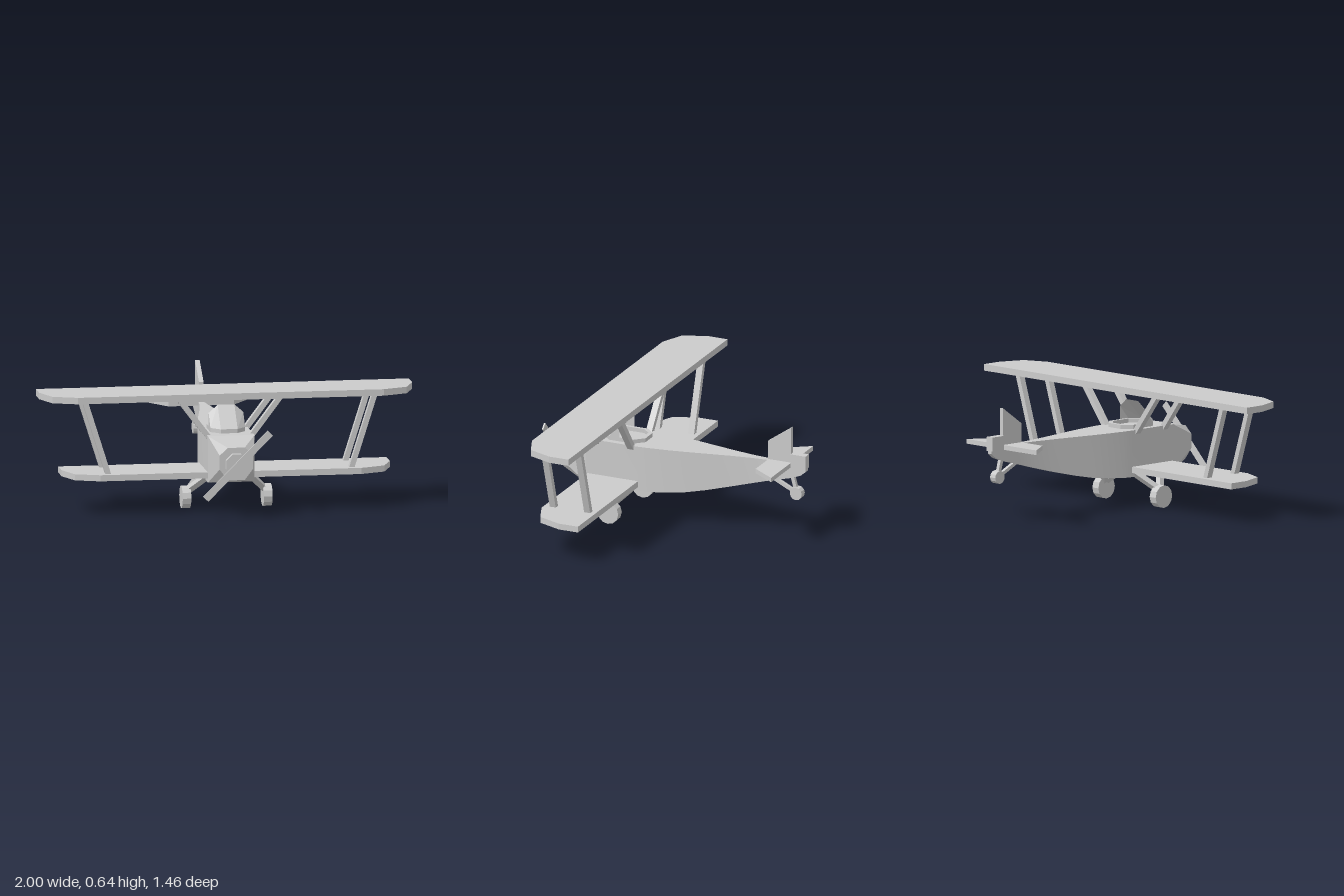
import * as THREE from 'three';
import { ConvexGeometry } from 'three/addons/geometries/ConvexGeometry.js';
import { toCreasedNormals } from 'three/addons/utils/BufferGeometryUtils.js';

const grey = new THREE.MeshStandardMaterial({ color: 0xcccccc, flatShading: true });
const smoothGrey = new THREE.MeshStandardMaterial({ color: 0xcccccc });
const thinGrey = new THREE.MeshStandardMaterial({ color: 0xcccccc, flatShading: true, side: THREE.DoubleSide });
const V = (x, y, z) => new THREE.Vector3(x, y, z);

export function createModel() {
  const model = new THREE.Group();

  const add = (name, geometry, material = grey) => {
    const mesh = new THREE.Mesh(geometry, material);
    mesh.name = name;
    model.add(mesh);
    return mesh;
  };

  // Right half outline [x, z] mirrored into a closed symmetric shape
  const mirrored = (half) => [...half, ...half.map(([x, z]) => [-x, z]).reverse()];
  const toPath = (points) => points.map(([x, y]) => new THREE.Vector2(x, y));

  // Horizontal slab from a plan outline
  const slab = (name, outline, bottom, top, hole) => {
    const shape = new THREE.Shape(toPath(outline));
    if (hole) shape.holes.push(new THREE.Path(toPath(hole)));
    const g = new THREE.ExtrudeGeometry(shape, { depth: top - bottom, bevelEnabled: false });
    return add(name, g.rotateX(Math.PI / 2).translate(0, top, 0));
  };

  // Upright plate from a side outline [z, y]
  const plate = (name, outline, width) => {
    const g = new THREE.ExtrudeGeometry(new THREE.Shape(toPath(outline)), { depth: width, bevelEnabled: false });
    return add(name, g.rotateY(-Math.PI / 2).translate(width / 2, 0, 0));
  };

  // Straight square strut between two points
  const strut = (name, a, b, w, d) => {
    const dir = b.clone().sub(a);
    const mesh = add(name, new THREE.BoxGeometry(w, dir.length(), d));
    mesh.position.copy(a).add(b).multiplyScalar(0.5);
    mesh.quaternion.setFromUnitVectors(V(0, 1, 0), dir.normalize());
  };

  const wheel = (name, x, y, z, r, width) =>
    add(name, new THREE.CylinderGeometry(r, r, width, 12).rotateZ(Math.PI / 2).translate(x, y, z));

  // Fuselage: rectangular sections [z, half width, bottom, top]
  const sections = [
    [0.5, 0.125, 0.165, 0.415], [0.2, 0.125, 0.165, 0.415], [0.14, 0.12, 0.166, 0.415],
    [0.04, 0.107, 0.175, 0.415], [-0.05, 0.092, 0.184, 0.415], [-0.17, 0.068, 0.208, 0.415],
    [-0.3, 0.042, 0.24, 0.415], [-0.42, 0.023, 0.272, 0.415], [-0.52, 0.014, 0.3, 0.415],
    [-0.64, 0.014, 0.332, 0.412], [-0.7, 0.014, 0.355, 0.405], [-0.73, 0.014, 0.38, 0.4],
  ];
  const positions = [], index = [];
  sections.forEach(([z, w, b, t], i) => {
    positions.push(w, b, z, w, t, z, -w, t, z, -w, b, z);
    if (i === 0) return;
    for (let k = 0; k < 4; k++) {
      const a = (i - 1) * 4 + k, c = (i - 1) * 4 + (k + 1) % 4;
      index.push(a, a + 4, c, c, a + 4, c + 4);
    }
  });
  const last = (sections.length - 1) * 4;
  index.push(0, 1, 2, 0, 2, 3, last, last + 2, last + 1, last, last + 3, last + 2);
  const body = new THREE.BufferGeometry();
  body.setAttribute('position', new THREE.Float32BufferAttribute(positions, 3));
  body.setIndex(index);
  add('fuselage', toCreasedNormals(body, 0.5), smoothGrey);

  // Nose: rectangle tapering to an octagon
  const nose = [];
  for (const s of [1, -1]) {
    nose.push(V(s * 0.125, 0.165, 0.5), V(s * 0.125, 0.415, 0.5));
    nose.push(V(s * 0.045, 0.205, 0.67), V(s * 0.09, 0.265, 0.67), V(s * 0.09, 0.34, 0.67), V(s * 0.045, 0.38, 0.67));
  }
  add('nose', new ConvexGeometry(nose));

  // Hub, shaft and propeller
  const hub = new THREE.CylinderGeometry(0.062, 0.062, 0.03, 8).rotateY(Math.PI / 8).rotateX(Math.PI / 2);
  add('hub', hub.translate(0, 0.292, 0.683));
  add('propellerShaft', new THREE.CylinderGeometry(0.012, 0.012, 0.04, 8).rotateX(Math.PI / 2).translate(0, 0.291, 0.71));
  add('propeller', new THREE.BoxGeometry(0.49, 0.038, 0.008).rotateZ(Math.PI / 4).translate(0, 0.291, 0.726));

  // Wings with clipped leading corners
  const wing = (span) => mirrored([[span, 0.197], [span, 0.31], [span - 0.05, 0.44], [span - 0.18, 0.493]]);
  slab('upperWing', wing(1), 0.605, 0.64);
  slab('lowerWing', wing(0.88), 0.187, 0.22);

  // Wing struts and landing gear
  for (const s of [1, -1]) {
    for (const z of [0.443, 0.242]) {
      strut('wingStrut', V(s * 0.65, 0.21, z), V(s * 0.778, 0.615, z), 0.028, 0.035);
      strut('cabaneStrut', V(s * 0.105, 0.39, z), V(s * 0.275, 0.615, z), 0.028, 0.035);
    }
    for (const z of [0.42, 0.215]) strut('gearLeg', V(s * 0.105, 0.195, z), V(s * 0.212, 0.09, 0.32), 0.03, 0.03);
    wheel('wheel', s * 0.218, 0.06, 0.32, 0.061, 0.046);
  }

  // Cockpit rim
  const rim = (k) => mirrored([[0.045 * k, 0.31 - 0.12 * k], [0.093 * k, 0.31 - 0.07 * k],
    [0.093 * k, 0.31 + 0.07 * k], [0.045 * k, 0.31 + 0.12 * k]]);
  slab('cockpitRim', rim(1), 0.41, 0.437, rim(0.82));

  // Windshield: a sloping centre pane and two angled side panes
  const low = [[0.093, 0.437, 0.38], [0.045, 0.437, 0.43], [-0.045, 0.437, 0.43], [-0.093, 0.437, 0.38]];
  const high = [[0.093, 0.508, 0.32], [0.045, 0.55, 0.32], [-0.045, 0.55, 0.32], [-0.093, 0.508, 0.32]];
  const panes = [];
  const tri = (...corners) => corners.forEach((c) => panes.push(...c));
  for (let i = 0; i < 3; i++) {
    tri(low[i], high[i], low[i + 1]);
    tri(low[i + 1], high[i], high[i + 1]);
  }
  // Upright triangles closing the sides
  for (const s of [1, -1]) tri([s * 0.093, 0.437, 0.38], [s * 0.093, 0.437, 0.32], [s * 0.093, 0.508, 0.32]);
  const shield = new THREE.BufferGeometry();
  shield.setAttribute('position', new THREE.Float32BufferAttribute(panes, 3));
  shield.computeVertexNormals();
  add('windshield', shield, thinGrey);

  // Tail
  slab('tailplane', mirrored([[0.265, -0.645], [0.175, -0.513]]), 0.395, 0.42);
  plate('fin', [[-0.51, 0.395], [-0.51, 0.522], [-0.645, 0.617], [-0.645, 0.395]], 0.025);
  plate('rudder', [[-0.645, 0.395], [-0.645, 0.47], [-0.733, 0.47], [-0.733, 0.395]], 0.042);
  strut('tailWheelStrut', V(0, 0.315, -0.54), V(0, 0.25, -0.675), 0.02, 0.018);
  strut('tailWheelStrut', V(0, 0.34, -0.65), V(0, 0.25, -0.675), 0.02, 0.02);
  wheel('tailWheel', 0, 0.25, -0.675, 0.035, 0.04);

  return model;
}
